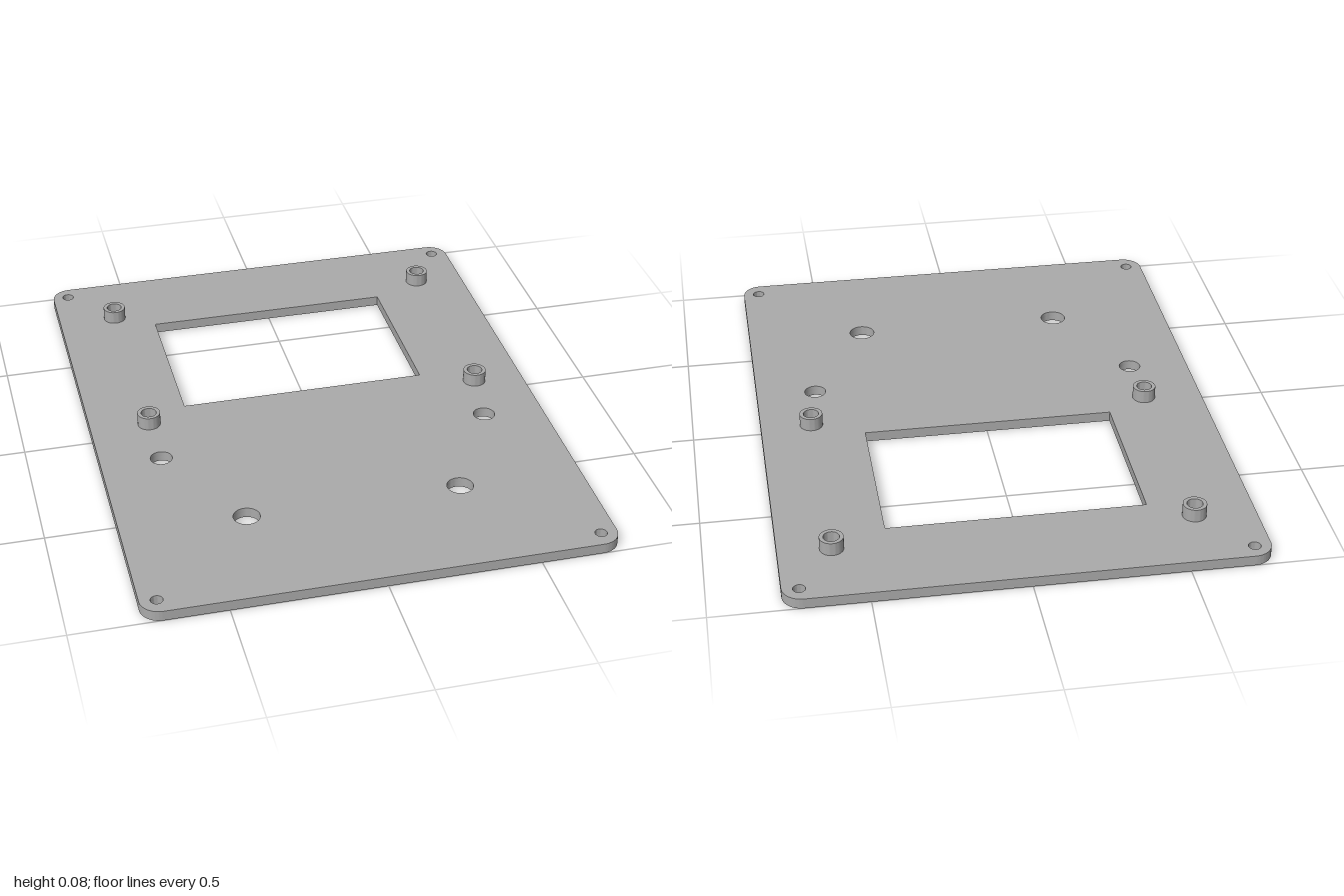
import * as THREE from 'three';
import { toCreasedNormals } from 'three/addons/utils/BufferGeometryUtils.js';

const HALF_X = 0.77, HALF_Z = 1, CORNER = 0.065;
const THICK = 0.035, RECESS = 0.018, POST_TOP = 0.08;

// Shapes are drawn with their second axis as z
function roundedOutline() {
  const s = new THREE.Shape();
  const x = HALF_X - CORNER, z = HALF_Z - CORNER;
  s.absarc(x, z, CORNER, 0, Math.PI / 2);
  s.absarc(-x, z, CORNER, Math.PI / 2, Math.PI);
  s.absarc(-x, -z, CORNER, Math.PI, Math.PI * 1.5);
  s.absarc(x, -z, CORNER, Math.PI * 1.5, Math.PI * 2);
  s.closePath();
  return s;
}

function roundHole(x, z, r) {
  return new THREE.Path().absarc(x, z, r, 0, Math.PI * 2, true);
}

function rectHole(x0, x1, z0, z1) {
  return new THREE.Path([[x0, z0], [x0, z1], [x1, z1], [x1, z0], [x0, z0]]
    .map(([x, z]) => new THREE.Vector2(x, z)));
}

function throughHoles() {
  const holes = [rectHole(-0.43, 0.42, -0.67, -0.1)];
  for (const s of [-1, 1]) {
    holes.push(roundHole(s * 0.715, -0.945, 0.02), roundHole(s * 0.715, 0.94, 0.02));
    holes.push(roundHole(s * 0.565, 0.195, 0.037));
    holes.push(roundHole(s * 0.358, 0.585, 0.044));
  }
  return holes;
}

function plateLayer(name, y0, y1, extraHoles, material) {
  const shape = roundedOutline();
  shape.holes.push(...throughHoles(), ...extraHoles);
  const geo = new THREE.ExtrudeGeometry(shape, { depth: y1 - y0, bevelEnabled: false, curveSegments: 16 });
  geo.rotateX(Math.PI / 2).translate(0, y1, 0);
  const mesh = new THREE.Mesh(toCreasedNormals(geo, 0.6), material);
  mesh.name = name;
  return mesh;
}

export function createModel() {
  const grey = new THREE.MeshStandardMaterial({ color: 0xaaaaaa });
  grey.name = 'grey';
  const model = new THREE.Group();
  model.name = 'mountingPlate';

  // Plate: the lower layer carries the blind slot and pin recesses of the underside
  const recesses = [
    rectHole(-0.205, 0.205, 0.803, 0.828),
    roundHole(0.447, -0.69, 0.01),
    roundHole(-0.452, -0.08, 0.01),
  ];
  model.add(plateLayer('lowerPlate', 0, RECESS, recesses, grey));
  model.add(plateLayer('upperPlate', RECESS, THICK, [], grey));

  // Hollow standoffs around the window
  const profile = [[0.039, THICK], [0.039, POST_TOP], [0.026, POST_TOP], [0.026, THICK]]
    .map(([r, y]) => new THREE.Vector2(r, y));
  const postGeo = toCreasedNormals(new THREE.LatheGeometry(profile, 40), 0.6);
  for (const x of [-0.568, 0.597]) {
    for (const z of [-0.752, -0.02]) {
      const post = new THREE.Mesh(postGeo, grey);
      post.name = 'standoff';
      post.position.set(x, 0, z);
      model.add(post);
    }
  }
  return model;
}
